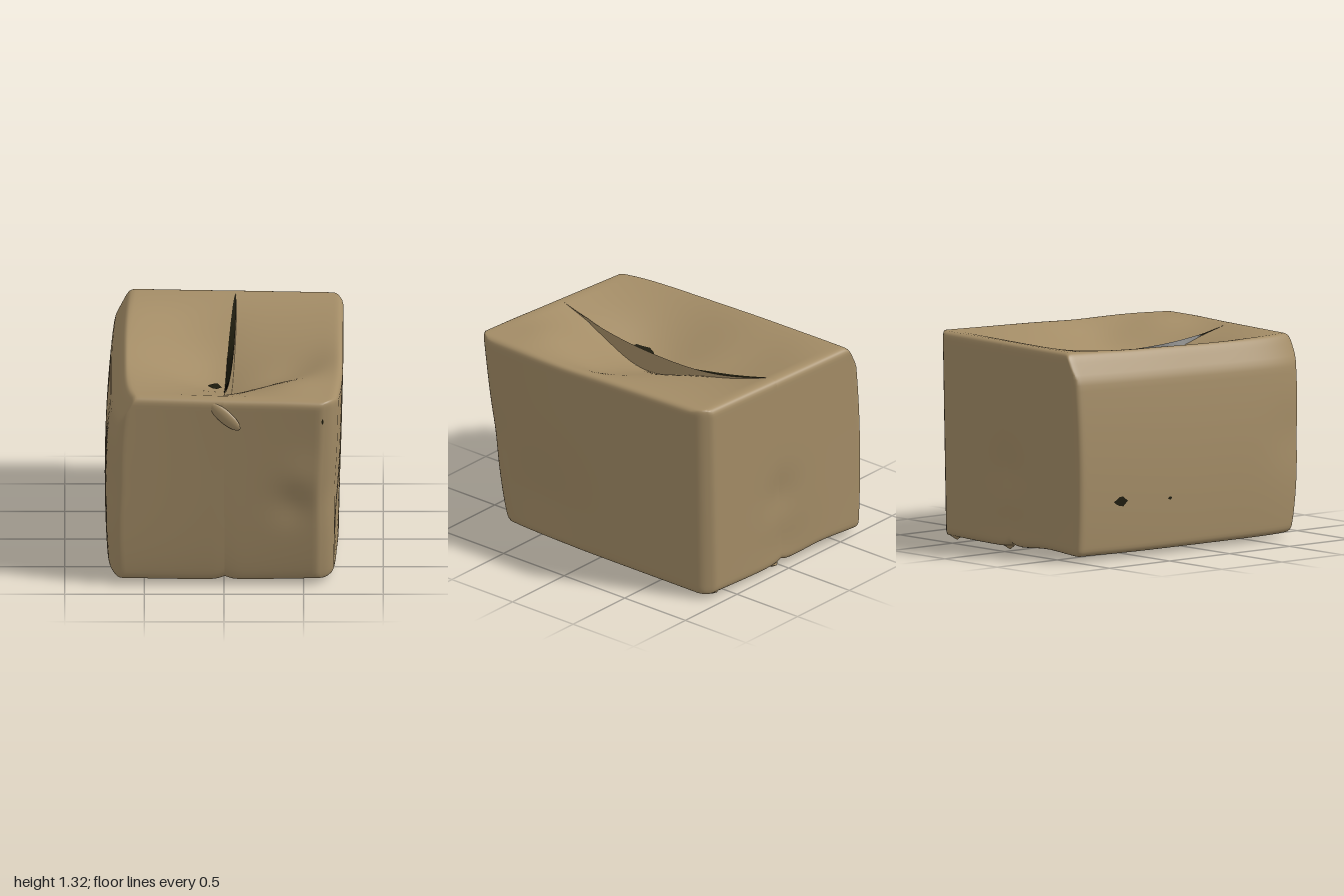
import * as THREE from 'three';
import { mergeVertices } from 'three/addons/utils/BufferGeometryUtils.js';

const cardboard = new THREE.MeshStandardMaterial({ color: 0xa38c66 });
cardboard.name = 'cardboard';
const shadowBrown = new THREE.MeshStandardMaterial({ color: 0x1c1a0c, side: THREE.DoubleSide });
shadowBrown.name = 'dark interior';

const HX = 0.72, HZ = 0.93, TOP = 1.295, R = 0.045;
const SEAM = 0.92; // part of the depth over which the top flaps sag

// Soft dents and bulges: [axis, push, x, y, z, radius]
const dents = [
  ['z', -0.015, 0.46, 0.55, 0.93, 0.13],
  ['z', 0.01, 0.5, 0.75, 0.93, 0.15],
  ['z', 0.018, 0.0, 0.48, -0.93, 0.15],
  ['z', 0.015, 0.0, 0.12, -0.93, 0.2],
  ['x', -0.02, 0.72, 0.3, 0.45, 0.25],
  ['x', -0.012, 0.72, 0.62, 0.9, 0.2],
  ['x', 0.012, -0.72, 0.65, 0.85, 0.2],
  ['y', 0.03, 0.4, 1.29, 0.6, 0.2],
  ['y', -0.03, 0.42, 1.29, 0.15, 0.2],
  ['y', -0.02, -0.3, 1.29, -0.45, 0.25],
  ['y', 0.025, -0.35, 0.0, -0.85, 0.25],
];

// Long sag of the flaps, deeper dip near the front, and opening of the seam
const sagAt = z => Math.max(0, 1 - (z / (HZ * SEAM)) ** 2);
const dipAt = z => sagAt(z) * Math.exp(-(((z - 0.2) / 0.38) ** 2));
const gapAt = z => Math.sqrt(Math.max(0, 1 - ((z + 0.1) / 0.74) ** 2));

// Map a point of the straight box (side s = +1 left half, -1 right half) to the crushed carton
function warp(x, y, z, s) {
  const p = new THREE.Vector3(x, y - TOP / 2, z);
  const h = new THREE.Vector3(HX - R, TOP / 2 - R, HZ - R);
  const q = p.clone().clamp(h.clone().negate(), h);
  const d = p.clone().sub(q);
  if (d.length() > 1e-6) p.copy(q).add(d.setLength(R));
  const bx = p.x, by = p.y + TOP / 2, bz = p.z;
  const nx = bx / HX, nz = bz / HZ, v = Math.max(0, by / TOP);
  const inner = Math.max(0, 1 - Math.abs(nx));
  const fore = Math.max(0, nz), aft = Math.max(0, -nz);

  // leaning front and back walls
  const front = 0.815 + 0.13 * Math.pow(v, 0.6) + 0.06 * nx * v;
  const back = -0.96 + 0.035 * nx;
  const out = new THREE.Vector3();
  out.z = THREE.MathUtils.lerp(back, front, (nz + 1) / 2);

  // bulging side walls, drawn in towards the front
  const half = s > 0
    ? 0.715 + 0.03 * v - 0.05 * fore ** 3
    : 0.735 + 0.1 * v - 0.14 * v * v - 0.06 * fore ** 6 - 0.03 * aft ** 2;
  out.x = nx * half + (0.03 - 0.04 * nz) * v * inner;

  // crushed left corners and upper right rim
  if (s > 0) {
    const c = Math.max(0, nx + Math.abs(nz) - 1.87);
    out.x -= 0.2 * c;
    out.z -= 0.35 * c * Math.sign(nz);
  } else {
    const c = Math.max(0, v - nx - 1.86);
    out.x += 0.45 * c;
    out.y -= 0.1 * c;
  }

  // parted seam on the top, sagging flaps, groove on the bottom
  const w = THREE.MathUtils.smoothstep(v, 0.6, 1);
  const sag = s > 0 ? 0.15 * sagAt(bz) + 0.11 * dipAt(bz) : 0.13 * sagAt(bz) + 0.08 * dipAt(bz);
  const slope = s > 0 ? Math.pow(inner, 1.2) : THREE.MathUtils.smoothstep(inner, -0.05, 0.95);
  out.x += s * 0.022 * w * Math.pow(inner, 6) * gapAt(bz);
  out.y += by - 0.024 * nz * v + (0.014 + 0.012 * Math.abs(nx)) * (1 - v);
  out.y -= w * sag * slope * (1 - Math.abs(nx) ** 12);
  out.y += 0.025 * Math.pow(inner, 16) * (1 - v);

  for (const [axis, push, dx, dy, dz, r] of dents) {
    const dist = (bx - dx) ** 2 + (by - dy) ** 2 + (bz - dz) ** 2;
    out[axis] += push * Math.exp(-dist / (r * r));
  }
  return out;
}

// Packs the grid lines towards the rounded edges
const ease = t => t * (1.5 - 0.5 * t * t);

// One half of the carton, open at the middle seam
function cartonHalf(s) {
  const box = new THREE.BoxGeometry(1, 1, 1, 24, 40, 48);
  const skip = box.groups[s > 0 ? 1 : 0];
  const index = Array.from(box.index.array).filter((_, i) => i < skip.start || i >= skip.start + skip.count);
  const pos = box.attributes.position;
  for (let i = 0; i < pos.count; i++) {
    const x = s * HX * ease(0.5 + s * pos.getX(i));
    const y = TOP / 2 * (1 + ease(2 * pos.getY(i)));
    const z = HZ * ease(2 * pos.getZ(i));
    const p = warp(x, y, z, s);
    pos.setXYZ(i, p.x, p.y, p.z);
  }
  box.setIndex(index);
  box.clearGroups();
  box.deleteAttribute('normal');
  box.deleteAttribute('uv');
  const geo = mergeVertices(box, 1e-5);
  geo.computeVertexNormals();
  return geo;
}

// Ribbon between two edges given as functions of z
function ribbon(edgeA, edgeB, n = 48) {
  const verts = [], index = [];
  for (let i = 0; i <= n; i++) {
    const z = HZ * SEAM * (2 * i / n - 1);
    verts.push(...edgeA(z).toArray(), ...edgeB(z).toArray());
    if (i < n) {
      const a = 2 * i;
      index.push(a, a + 2, a + 1, a + 1, a + 2, a + 3);
    }
  }
  const geo = new THREE.BufferGeometry();
  geo.setAttribute('position', new THREE.Float32BufferAttribute(verts, 3));
  geo.setIndex(index);
  geo.computeVertexNormals();
  return geo;
}

// Small ragged hole laid on the skin; place(u, v) gives the surface point
function holePatch(ru, rv, place) {
  const geo = new THREE.CircleGeometry(1, 10);
  const pos = geo.attributes.position;
  for (let i = 0; i < pos.count; i++) {
    const k = 1 + 0.15 * Math.sin(i * 2.3);
    const p = place(pos.getX(i) * ru * k, pos.getY(i) * rv * k);
    pos.setXYZ(i, p.x, p.y, p.z);
  }
  geo.computeVertexNormals();
  return geo;
}

export function createModel() {
  const model = new THREE.Group();
  model.name = 'crushedCarton';
  const carton = new THREE.Group();
  carton.name = 'carton';
  model.add(carton);
  const add = (name, geo, mat) => {
    const mesh = new THREE.Mesh(geo, mat);
    mesh.name = name;
    carton.add(mesh);
    return mesh;
  };

  add('leftHalf', cartonHalf(1), cardboard);
  add('rightHalf', cartonHalf(-1), cardboard);

  // leaning torn lip between the flaps, dark on its inner side
  const high = z => warp(0, TOP, z, -1);
  const low = z => warp(0, TOP, z, 1);
  const lip = z => {
    const p = high(z);
    return p.set(THREE.MathUtils.lerp(p.x, low(z).x, 0.9), p.y + 0.09 * dipAt(z), p.z);
  };
  add('tornLip', ribbon(lip, low), cardboard);
  add('topGap', ribbon(high, lip), shadowBrown);

  // punctures in the flap and walls
  const raise = new THREE.Vector3(0, 0.006, 0);
  add('flapHole', holePatch(0.045, 0.08, (u, v) => warp(-0.07 + u, TOP, 0.25 + v, -1).add(raise)), shadowBrown);
  add('frontHole', holePatch(0.01, 0.018, (u, v) => {
    const p = warp(0.645 + u, 1.16 + v, HZ, 1);
    p.z += 0.004;
    return p;
  }), shadowBrown);
  for (const [z, y, r] of [[-0.6, 0.34, 0.05], [-0.2, 0.33, 0.016]]) {
    add('sideHole', holePatch(r, r * 0.6, (u, v) => {
      const p = warp(-HX, y + v, z + u, -1);
      p.x -= 0.004;
      return p;
    }), shadowBrown);
  }

  // torn curl of board near the top of the front
  const curl = add('tornCurl', new THREE.SphereGeometry(1, 20, 12), cardboard);
  curl.scale.set(0.125, 0.045, 0.02);
  curl.position.set(0.0, 1.165, 0.95);
  curl.rotation.set(0, -0.3, -0.65);

  // bent flap tips under the back edge
  for (const [x, z] of [[0.59, -0.87], [0.05, -0.9]]) {
    const tip = add('flapTip', new THREE.ConeGeometry(0.05, 0.03, 4), cardboard);
    tip.position.set(x, 0.013, z);
    tip.rotation.set(Math.PI, 0.15, 0);
  }

  // stand on the ground, centred
  const box = new THREE.Box3().setFromObject(carton);
  carton.position.set(-(box.min.x + box.max.x) / 2, -box.min.y, -(box.min.z + box.max.z) / 2);
  return model;
}
